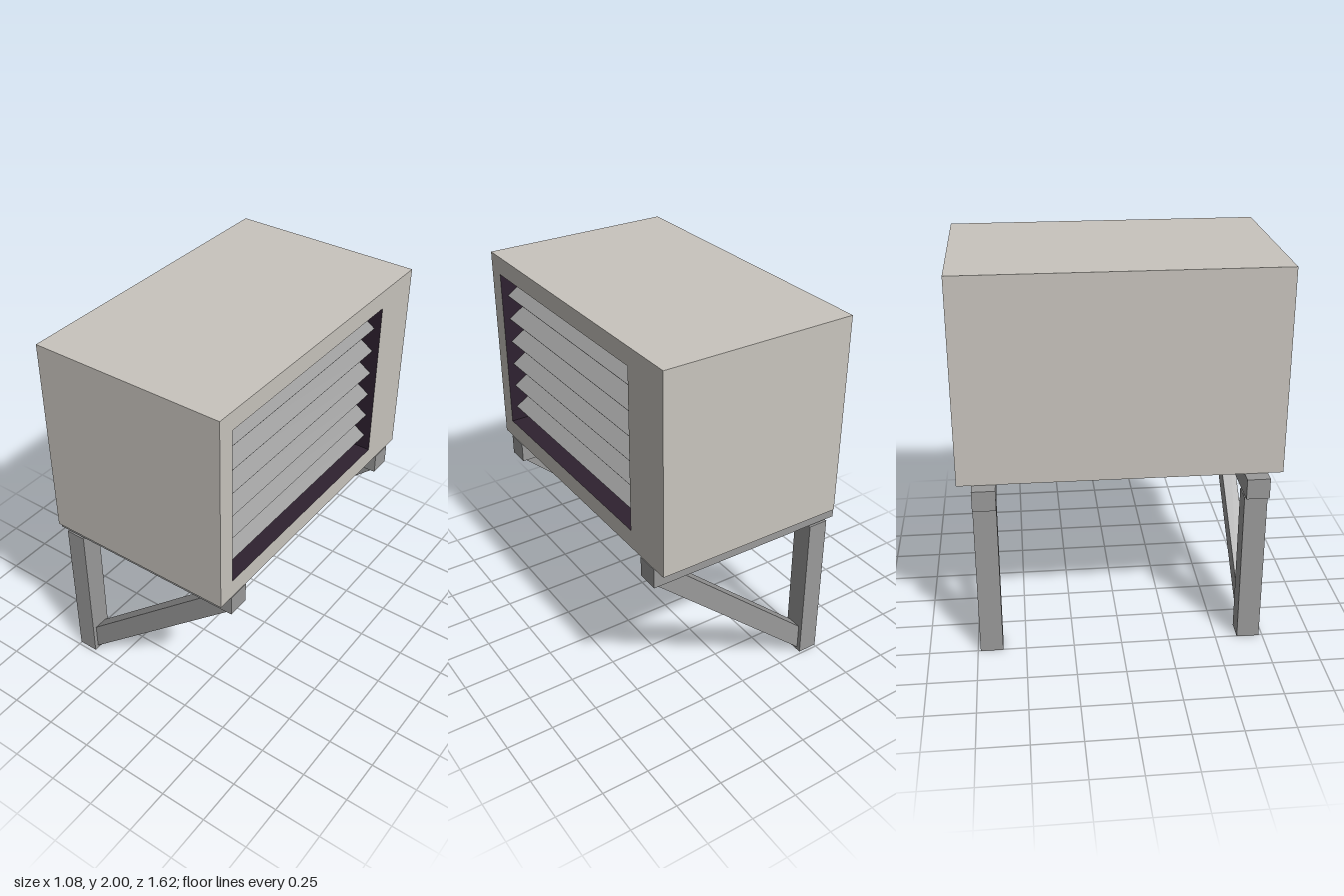
import * as THREE from 'three';

const paint = (name, color, side = THREE.FrontSide) => {
  const m = new THREE.MeshStandardMaterial({ color, side });
  m.name = name;
  return m;
};

export function createModel() {
  const root = new THREE.Group();
  root.name = 'wallVentUnit';
  const casingPaint = paint('casingGrey', 0xc8c4bd);
  const metal = paint('bracketMetal', 0x9a9a9a);
  const dark = paint('darkInterior', 0x2e2130, THREE.DoubleSide);

  const add = (parent, name, geometry, material, x = 0, y = 0, z = 0) => {
    const mesh = new THREE.Mesh(geometry, material);
    mesh.name = name;
    mesh.position.set(x, y, z);
    parent.add(mesh);
    return mesh;
  };

  // Box whose +x face is left open
  const openBox = (w, h, d) => {
    const g = new THREE.BoxGeometry(w, h, d);
    g.setIndex(Array.from(g.index.array).slice(6));
    g.clearGroups();
    return g;
  };

  const rect = (Type, x0, y0, x1, y1) => {
    const p = new Type();
    p.moveTo(x0, y0);
    p.lineTo(x1, y0);
    p.lineTo(x1, y1);
    p.lineTo(x0, y1);
    p.closePath();
    return p;
  };

  // Casing: five closed sides and a face with the vent opening
  const faceX = 0.537;
  add(root, 'casingShell', openBox(1.014, 1.05, 1.62), casingPaint, 0.03, 1.475, 0);
  const face = rect(THREE.Shape, -0.81, 0.95, 0.81, 2);
  face.holes.push(rect(THREE.Path, -0.72, 1.048, 0.53, 1.905));
  add(root, 'ventFace', new THREE.ShapeGeometry(face).rotateY(Math.PI / 2), casingPaint, faceX, 0, 0);

  // Dark recess behind the opening
  const depth = 0.43;
  add(root, 'ventRecess', openBox(depth, 0.857, 1.25), dark, faceX - depth / 2, 1.4765, 0.095);

  // Six slats sloping down and outward
  const slats = new THREE.Group();
  slats.name = 'slats';
  root.add(slats);
  for (let i = 0; i < 6; i++) {
    const slat = add(slats, 'slat', new THREE.BoxGeometry(0.108, 0.006, 1.248), metal,
      0.457, 1.81 - i * 0.1305, 0.095);
    slat.rotation.z = -0.59;
  }

  // Diagonal brace outline, cut flush with the post and the beam
  const braceShape = new THREE.Shape([
    new THREE.Vector2(-0.395, 0.02),
    new THREE.Vector2(0.523, 0.84),
    new THREE.Vector2(0.365, 0.84),
    new THREE.Vector2(-0.395, 0.165),
  ]);

  // Support brackets: beam, post and brace
  for (const z of [0.673, -0.678]) {
    const bracket = new THREE.Group();
    bracket.name = z > 0 ? 'frontBracket' : 'backBracket';
    bracket.position.z = z;
    root.add(bracket);
    add(bracket, 'beam', new THREE.BoxGeometry(1.084, 0.107, 0.117), metal, -0.002, 0.8955, 0);
    add(bracket, 'post', new THREE.BoxGeometry(0.107, 0.83, 0.117), metal, -0.4505, 0.415, 0);
    add(bracket, 'brace', new THREE.ExtrudeGeometry(braceShape, { depth: 0.076, bevelEnabled: false }),
      metal, 0, 0, -0.038);
  }
  return root;
}
